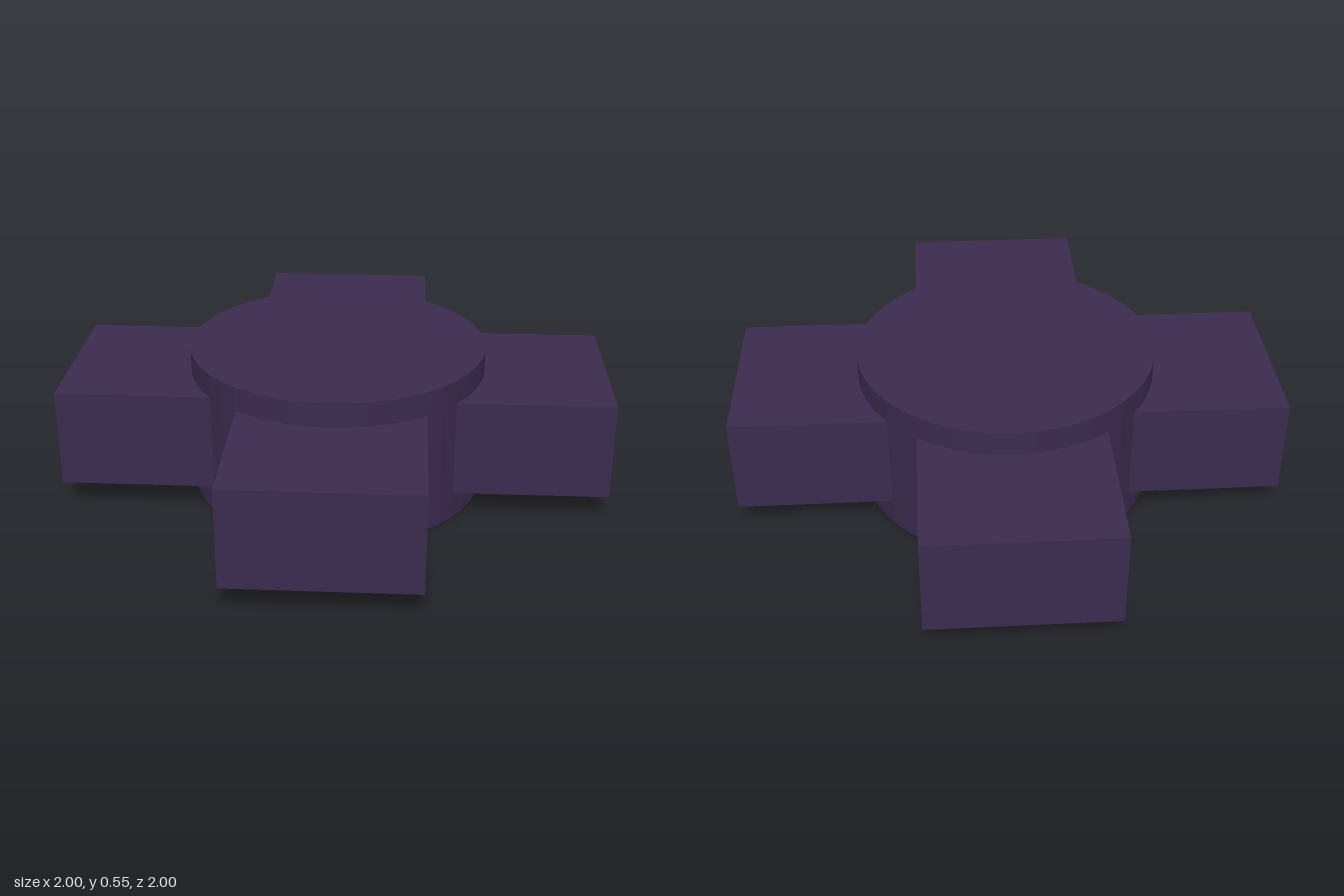
import * as THREE from 'three';

export function createModel() {
  const group = new THREE.Group();
  const material = new THREE.MeshStandardMaterial({ color: 0x3b2a4f, flatShading: true });

  // Central round hub, standing slightly proud of the arms
  const hub = new THREE.Mesh(new THREE.CylinderGeometry(0.55, 0.55, 0.55, 48), material);
  hub.name = 'hub';
  hub.position.y = 0.275;
  group.add(hub);

  // Four rectangular arms, each starting inside the hub and reaching out to 1
  const inner = 0.4, width = 0.666, height = 0.36;
  const armGeometry = new THREE.BoxGeometry(width, height, 1 - inner);
  armGeometry.translate(0, 0.28, (1 + inner) / 2);
  ['frontArm', 'leftArm', 'backArm', 'rightArm'].forEach((name, i) => {
    const arm = new THREE.Mesh(armGeometry, material);
    arm.name = name;
    arm.rotation.y = (i * Math.PI) / 2;
    group.add(arm);
  });

  return group;
}
